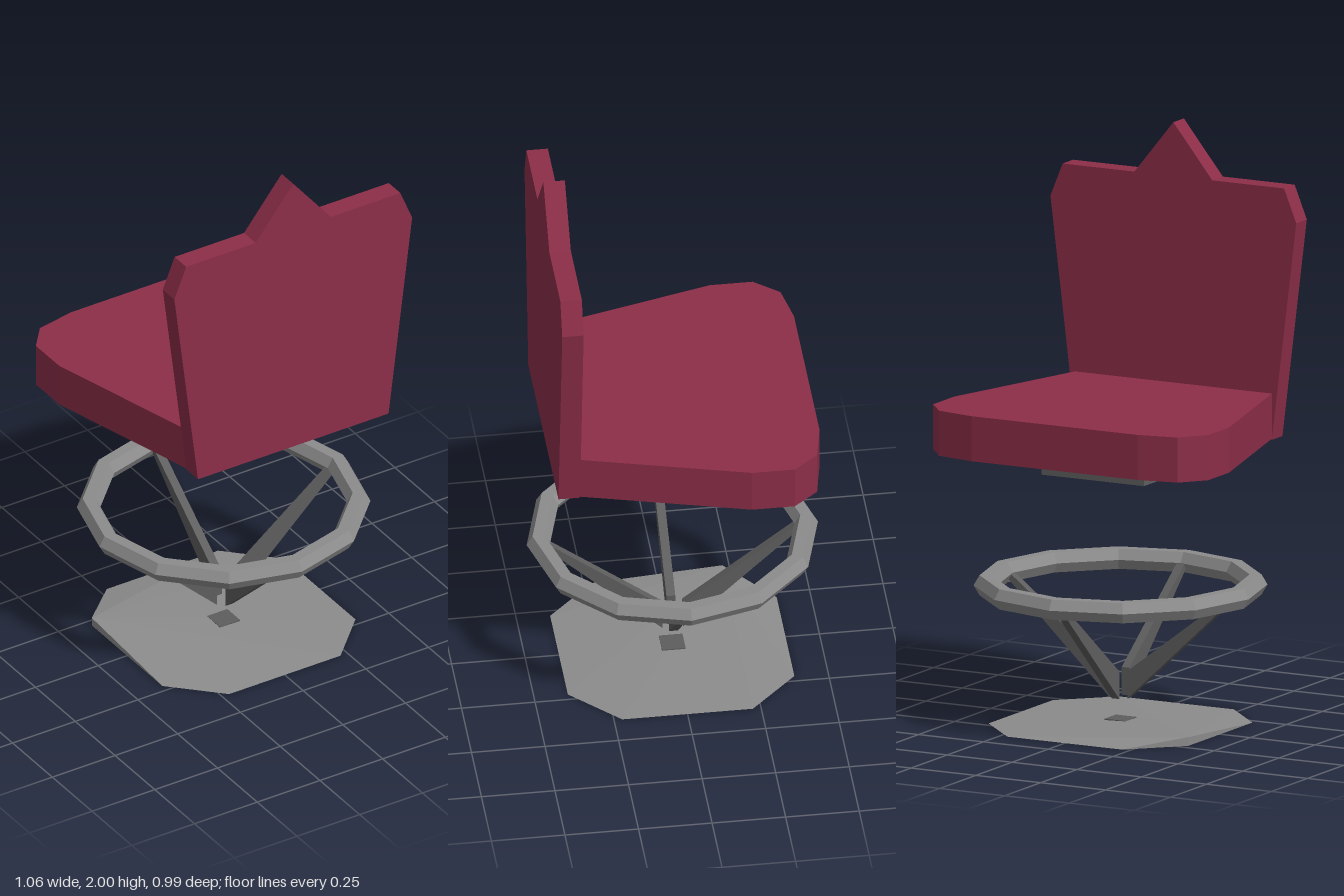
import * as THREE from 'three';
import { ConvexGeometry } from 'three/addons/geometries/ConvexGeometry.js';

const material = (name, color) => {
  const m = new THREE.MeshStandardMaterial({ color });
  m.name = name;
  return m;
};

// Symmetric outline from its right half, listed from bottom to top
const mirrored = (half) => {
  const left = half.filter(([x]) => x > 0).reverse().map(([x, y]) => [-x, y]);
  return [...half, ...left];
};

const slab = (points, depth) => new THREE.ExtrudeGeometry(
  new THREE.Shape(points.map(([x, y]) => new THREE.Vector2(x, y))),
  { depth, bevelEnabled: false },
);

export function createModel() {
  const group = new THREE.Group();
  const maroon = material('maroon upholstery', 0x8c2e48);
  const lightMetal = material('light grey metal', 0x8c8c8c);
  const darkMetal = material('dark grey metal', 0x5e5e5e);
  for (const m of [maroon, lightMetal, darkMetal]) m.flatShading = true;

  const add = (name, geometry, mat, x = 0, y = 0, z = 0, parent = group) => {
    const mesh = new THREE.Mesh(geometry, mat);
    mesh.name = name;
    mesh.position.set(x, y, z);
    parent.add(mesh);
    return mesh;
  };

  // Seat cushion, wide at the open edge and narrow at the backrest
  const seat = slab(mirrored([
    [0.38, -0.365], [0.53, 0.2], [0.53, 0.345], [0.46, 0.43], [0.32, 0.457],
  ]), 0.155).rotateX(-Math.PI / 2);
  add('seat', seat, maroon, 0, 0.95, 0);

  // Backrest with a pointed crest
  const back = slab(mirrored([
    [0.38, 0.946], [0.474, 1.7], [0.427, 1.815], [0.15, 1.815], [0, 2],
  ]), 0.073);
  add('backrest', back, maroon, 0, 0, 0.365);

  // Mounting block under the seat
  add('seatMount', new THREE.BoxGeometry(0.395, 0.08, 0.395), darkMetal, -0.003, 0.91, 0);

  // Foot ring
  add('footRing', new THREE.TorusGeometry(0.455, 0.04, 6, 12).rotateX(Math.PI / 2),
    lightMetal, 0, 0.475, 0);

  // Four tapered struts that carry the ring
  const strut = slab([[0.035, 0.09], [0.44, 0.47], [0.43, 0.485], [0.035, 0.185]], 0.03)
    .translate(0, 0, -0.015);
  for (let i = 0; i < 4; i++) {
    add('ringStrut', strut, darkMetal).rotation.y = i * Math.PI / 2;
  }

  // Thin floor plate that rises to one corner
  const rim = [];
  for (const sx of [-1, 1]) for (const sz of [-1, 1]) {
    rim.push(new THREE.Vector3(sx * 0.385, 0, sz * 0.222));
    rim.push(new THREE.Vector3(sx * 0.222, 0, sz * 0.385));
  }
  rim.push(new THREE.Vector3(-0.385, 0.03, -0.222));
  add('basePlate', new ConvexGeometry(rim), lightMetal);

  // Small socket mark at the middle of the plate
  add('baseSocket', new THREE.BoxGeometry(0.08, 0.008, 0.08), darkMetal, 0, 0.014, 0);

  return group;
}
